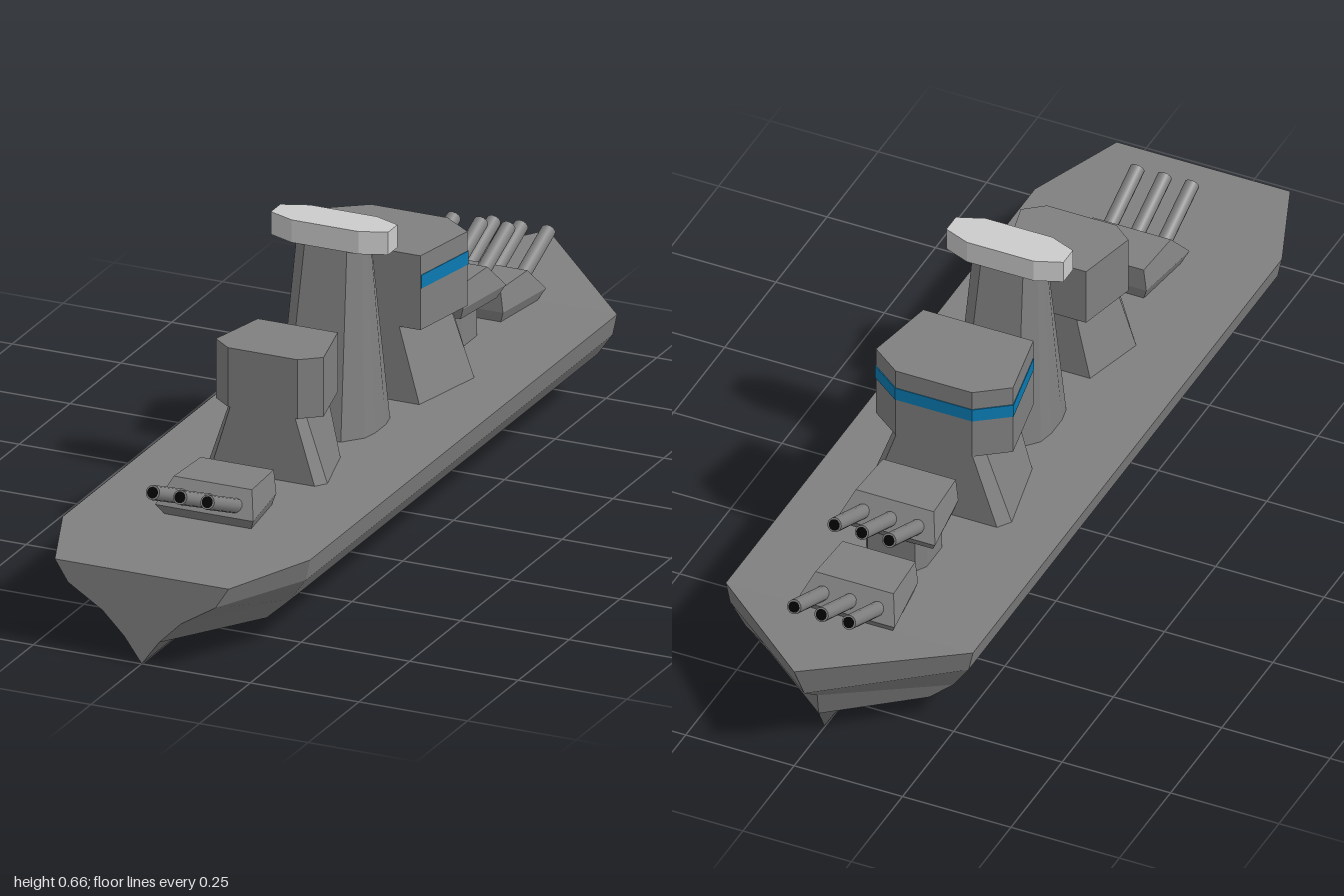
import * as THREE from 'three';

const grey = new THREE.MeshStandardMaterial({ color: 0x808080 });
const paleGrey = new THREE.MeshStandardMaterial({ color: 0xcccccc });
const blue = new THREE.MeshStandardMaterial({ color: 0x0a7ab2 });
const black = new THREE.MeshStandardMaterial({ color: 0x030303 });

const vec = p => new THREE.Vector3(...p);

// Skins rings of [x, y, z] points with one normal per panel and closes both ends.
function loft(name, rings, material = grey) {
  const pos = [], normals = [];
  const tri = (pts, normal) => {
    const t = new THREE.Triangle(...pts.map(vec));
    if (t.getArea() < 1e-8) return;
    const n = normal ?? t.getNormal(new THREE.Vector3());
    pts.forEach(p => { pos.push(...p); normals.push(n.x, n.y, n.z); });
  };
  // Split along the shorter diagonal, so both halves of the model mirror
  const quad = (a, b, c, d) => {
    const ac = vec(c).sub(vec(a)), bd = vec(d).sub(vec(b));
    const n = ac.clone().cross(bd).normalize();
    const parts = ac.length() <= bd.length() ? [[a, b, c], [a, c, d]] : [[a, b, d], [b, c, d]];
    parts.forEach(p => tri(p, n));
  };
  const n = rings[0].length;
  for (let r = 0; r < rings.length - 1; r++) {
    const a = rings[r], b = rings[r + 1];
    for (let i = 0; i < n; i++) {
      const j = (i + 1) % n;
      quad(a[i], a[j], b[j], b[i]);
    }
  }
  const cap = (ring, flip) => {
    const c = [0, 1, 2].map(k => (Math.min(...ring.map(p => p[k])) + Math.max(...ring.map(p => p[k]))) / 2);
    if (ring.every(p => p[2] === ring[0][2])) c[1] = ring[0][1];
    ring.forEach((p, i) => {
      const q = ring[(i + 1) % n];
      tri(flip ? [c, q, p] : [c, p, q]);
    });
  };
  if (rings[0].some(p => p[0] !== 0)) cap(rings[0], true);
  cap(rings[rings.length - 1], false);
  const geo = new THREE.BufferGeometry();
  geo.setAttribute('position', new THREE.Float32BufferAttribute(pos, 3));
  geo.setAttribute('normal', new THREE.Float32BufferAttribute(normals, 3));
  const mesh = new THREE.Mesh(geo, material);
  mesh.name = name;
  return mesh;
}

// Level outline at height y; half lists [x, z] on the +x side from +z to -z.
const outline = (y, half) => [
  ...half.map(([x, z]) => [x, y, z]),
  ...half.slice().reverse().filter(p => p[0] > 0).map(([x, z]) => [-x, y, z]),
];

// Hull cross-section; half lists [x, y, z] from deck edge to keel.
const section = half => [
  ...half.map(([x, y, z]) => [-x, y, z]),
  ...half.slice(0, -1).reverse(),
];

function makeHull() {
  const mid = z => section([[0.285, 0.202, z], [0.275, 0.155, z], [0.24, 0.105, z], [0.185, 0.055, z], [0, 0, z]]);
  const stem = section([[0, 0.245, -1], [0, 0.155, -0.95], [0, 0.107, -0.887], [0, 0.055, -0.88], [0, 0.003, -0.852]]);
  const transom = section([[0.2, 0.202, 1], [0.17, 0.155, 1], [0.09, 0.105, 1], [0.04, 0.055, 1], [0, 0, 1]]);
  return loft('hull', [stem, mid(-0.73), mid(0.78), transom]);
}

// Three-gun turret, rear at z = 0, firing toward +z
function makeTurret(name, y, z, turned) {
  const turret = new THREE.Group();
  turret.name = name;
  turret.add(loft('gunHouse', [
    outline(0, [[0.1, 0.145], [0.082, 0.005]]),
    outline(0.025, [[0.113, 0.163], [0.09, 0]]),
    outline(0.077, [[0.09, 0.12], [0.084, 0]]),
  ]));
  const length = 0.17;
  for (const x of [-0.063, 0, 0.063]) {
    const gun = new THREE.Group();
    gun.name = 'gun';
    const barrel = new THREE.Mesh(new THREE.CylinderGeometry(0.016, 0.016, length, 12), grey);
    barrel.name = 'barrel';
    barrel.position.y = length / 2;
    const bore = new THREE.Mesh(new THREE.CircleGeometry(0.0125, 12), black);
    bore.name = 'bore';
    bore.rotation.x = -Math.PI / 2;
    bore.position.y = length + 0.0008;
    gun.add(barrel, bore);
    gun.position.set(x, 0.037, 0.125);
    gun.rotation.x = THREE.MathUtils.degToRad(67);
    turret.add(gun);
  }
  turret.position.set(0, y, z);
  if (turned) turret.rotation.y = Math.PI;
  return turret;
}

function makeBridge() {
  const bridge = new THREE.Group();
  bridge.name = 'bridge';
  const plan = [[0.127, -0.1], [0.158, -0.265], [0.088, -0.317]];
  // Slightly larger and shifted forward, so the rear wall stays plain
  const band = plan.map(([x, z]) => [x * 1.012, z - 0.0015]);
  bridge.add(
    loft('bridgeBase', [
      outline(0.2, [[0.125, -0.1], [0.165, -0.285], [0.145, -0.315]]),
      outline(0.37, [[0.078, -0.1], [0.103, -0.285], [0.088, -0.315]]),
    ]),
    loft('bridgeHouse', [outline(0.37, plan), outline(0.537, plan)]),
    loft('windowBand', [outline(0.463, band), outline(0.493, band)], blue),
  );
  return bridge;
}

function makeAftTower() {
  const tower = new THREE.Group();
  tower.name = 'aftTower';
  const plan = [[0.08, 0.405], [0.124, 0.37], [0.092, 0.232]];
  tower.add(
    loft('towerBase', [
      outline(0.2, [[0.12, 0.405], [0.138, 0.38], [0.1, 0.235]]),
      outline(0.347, [[0.075, 0.405], [0.088, 0.38], [0.068, 0.235]]),
    ]),
    loft('towerHouse', [outline(0.347, plan), outline(0.48, plan)]),
  );
  return tower;
}

function makeMast() {
  const mast = new THREE.Group();
  mast.name = 'mast';
  // Tapered column with a pale lens-shaped cap
  const column = (y, w, d) => outline(y, [
    [0.6, 1], [0.93, 0.6], [1, 0.25], [1, -0.25], [0.93, -0.6], [0.6, -1],
  ].map(([x, z]) => [x * w, 0.055 + z * d]));
  const cap = y => outline(y, [
    [0.077, 0.099], [0.135, 0.076], [0.135, 0.03], [0.077, 0.007],
  ]);
  mast.add(
    loft('mastColumn', [column(0.2, 0.108, 0.104), column(0.606, 0.081, 0.04)]),
    loft('mastCap', [cap(0.605), cap(0.656)], paleGrey),
  );
  return mast;
}

export function createModel() {
  const ship = new THREE.Group();
  ship.name = 'warship';
  ship.add(
    makeHull(),
    makeBridge(),
    makeMast(),
    makeAftTower(),
    makeTurret('aftTurret', 0.202, 0.53, false),
    makeTurret('foreTurret', 0.2, -0.585, true),
    makeTurret('raisedTurret', 0.28, -0.388, true),
    // Pedestal under the raised turret
    loft('turretPedestal', [0.2, 0.285].map(y =>
      outline(y, [[0.055, -0.4], [0.07, -0.425], [0.07, -0.5], [0.055, -0.525]]))),
  );
  return ship;
}
